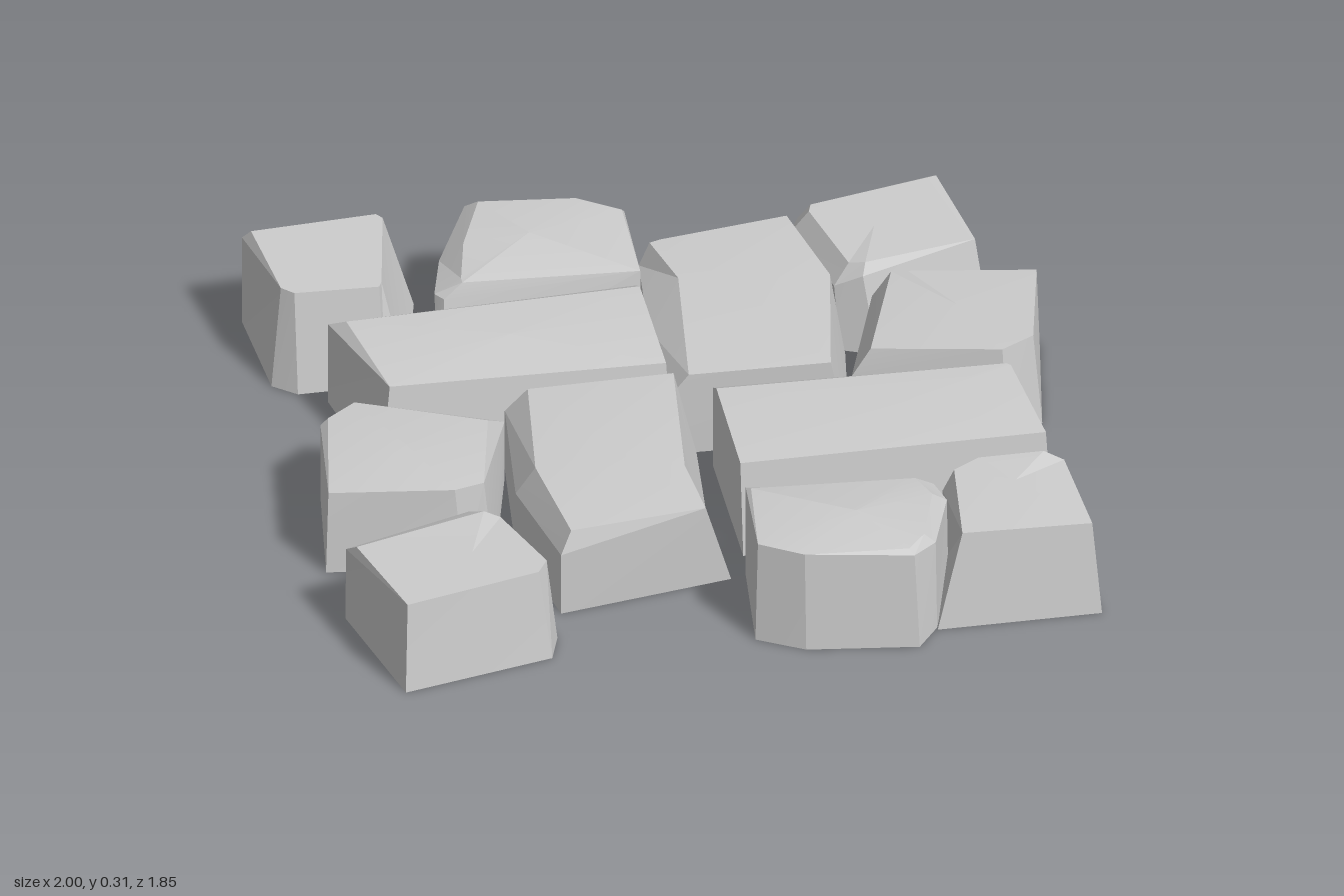
import * as THREE from 'three';
import { toCreasedNormals } from 'three/addons/utils/BufferGeometryUtils.js';

const material = new THREE.MeshStandardMaterial({ color: 0xcccccc, side: THREE.DoubleSide });

// A stone hollow underneath. Each corner row runs clockwise from above:
// foot x, z, shoulder x, z, y, and optionally a bevelled rim x, z, y.
function stone(name, corners, crownY) {
  const pos = [];
  const rings = corners.map(([bx, bz, sx, sz, sy, cx, cz, cy]) => {
    const shoulder = new THREE.Vector3(sx, sy, sz);
    const rim = cx === undefined ? shoulder : new THREE.Vector3(cx, cy, cz);
    return [new THREE.Vector3(bx, 0, bz), shoulder, rim];
  });
  const crown = new THREE.Vector3();
  rings.forEach((r) => crown.addScaledVector(r[2], 1 / rings.length));
  if (crownY) crown.y = crownY;
  const tri = (a, b, c) => {
    if (!a.equals(b) && !b.equals(c) && !c.equals(a)) [a, b, c].forEach((v) => pos.push(v.x, v.y, v.z));
  };
  rings.forEach((a, i) => {
    const b = rings[(i + 1) % rings.length];
    for (let k = 0; k < 2; k++) {
      tri(a[k], a[k + 1], b[k]);
      tri(b[k], a[k + 1], b[k + 1]);
    }
    tri(a[2], crown, b[2]);
  });
  const geometry = new THREE.BufferGeometry();
  geometry.setAttribute('position', new THREE.Float32BufferAttribute(pos, 3));
  const mesh = new THREE.Mesh(toCreasedNormals(geometry, 0.2), material);
  mesh.name = name;
  return mesh;
}

export function createModel() {
  const group = new THREE.Group();
  group.name = 'cobblestonePatch';
  group.add(
    // back row
    stone('backRightCornerStone', [
      [-1, -0.89, -1, -0.89, 0.26, -0.98, -0.87, 0.29],
      [-0.55, -0.89, -0.63, -0.9, 0.27, -0.65, -0.89, 0.29],
      [-0.63, -0.56, -0.69, -0.59, 0.28],
      [-0.69, -0.53, -0.7, -0.57, 0.28],
      [-0.92, -0.53, -0.92, -0.58, 0.28],
      [-0.98, -0.58, -0.95, -0.61, 0.28],
    ]),
    stone('backMiddleStone', [
      [-0.55, -0.54, -0.55, -0.6, 0.22, -0.48, -0.6, 0.26],
      [-0.51, -0.75, -0.51, -0.75, 0.22, -0.45, -0.73, 0.28],
      [-0.41, -0.93, -0.41, -0.93, 0.26, -0.38, -0.9, 0.29],
      [-0.11, -0.89, -0.12, -0.89, 0.27, -0.13, -0.87, 0.29],
      [0, -0.83, -0.01, -0.83, 0.26, -0.02, -0.81, 0.28],
      [-0.02, -0.53, -0.02, -0.55, 0.26],
      [-0.54, -0.53, -0.53, -0.57, 0.22, -0.48, -0.58, 0.26],
    ], 0.3),
    stone('backLeftCornerStone', [
      [0.41, -0.77, 0.41, -0.77, 0.18, 0.46, -0.76, 0.25],
      [0.44, -0.81, 0.44, -0.81, 0.2, 0.47, -0.79, 0.25],
      [0.82, -0.89, 0.81, -0.88, 0.24, 0.81, -0.85, 0.26],
      [0.89, -0.52, 0.86, -0.57, 0.24],
      [0.58, -0.44, 0.55, -0.48, 0.22, 0.56, -0.5, 0.25],
      [0.49, -0.48, 0.48, -0.51, 0.18, 0.52, -0.52, 0.24],
    ]),
    // interlocking centre pair
    stone('centreBackStone', [
      [0, -0.68, 0, -0.68, 0.19, 0.03, -0.69, 0.25],
      [0.03, -0.7, 0.03, -0.7, 0.23, 0.06, -0.7, 0.25],
      [0.42, -0.75, 0.4, -0.75, 0.25],
      [0.5, -0.46, 0.46, -0.46, 0.25],
      [0.44, -0.07, 0.39, -0.07, 0.24],
      [-0.02, -0.08, -0.02, -0.08, 0.19, 0.02, -0.08, 0.24],
      [-0.03, -0.38, -0.03, -0.38, 0.19, 0.07, -0.5, 0.26],
    ], 0.26),
    stone('centreFrontStone', [
      [-0.46, -0.09, -0.46, -0.09, 0.18, -0.4, -0.09, 0.24],
      [0.04, -0.08, -0.02, -0.08, 0.25],
      [0.01, 0.24, -0.07, 0.35, 0.25],
      [0.02, 0.52, -0.05, 0.54, 0.24],
      [-0.44, 0.6, -0.44, 0.6, 0.18, -0.41, 0.58, 0.24],
      [-0.5, 0.28, -0.5, 0.28, 0.17, -0.45, 0.29, 0.25],
    ], 0.26),
    // long slabs either side of the centre
    stone('longRightSlab', [
      [-0.85, -0.48, -0.85, -0.48, 0.24, -0.81, -0.44, 0.27],
      [-0.04, -0.5, -0.04, -0.5, 0.25, -0.04, -0.45, 0.28],
      [-0.02, -0.09, -0.03, -0.13, 0.25],
      [-0.78, -0.11, -0.75, -0.15, 0.25],
    ], 0.28),
    stone('longLeftSlab', [
      [0.07, -0.01, 0.07, -0.01, 0.24, 0.07, 0.04, 0.27],
      [0.81, 0.03, 0.81, 0.03, 0.25, 0.82, 0.09, 0.29],
      [0.83, 0.07, 0.83, 0.07, 0.25, 0.83, 0.1, 0.29],
      [0.88, 0.42, 0.87, 0.38, 0.26],
      [0.07, 0.42, 0.07, 0.38, 0.26],
    ], 0.28),
    // side stones
    stone('leftSideStone', [
      [0.57, -0.46, 0.57, -0.46, 0.17, 0.62, -0.46, 0.24],
      [0.66, -0.48, 0.66, -0.48, 0.22, 0.66, -0.44, 0.25],
      [1, -0.41, 0.99, -0.4, 0.24],
      [0.94, -0.05, 0.92, -0.07, 0.26],
      [0.84, 0.01, 0.83, -0.02, 0.26],
      [0.45, -0.1, 0.45, -0.1, 0.17, 0.5, -0.1, 0.25],
    ], 0.26),
    stone('rightSideStone', [
      [-0.95, -0.05, -0.95, -0.05, 0.22, -0.93, -0.05, 0.24],
      [-0.87, -0.12, -0.87, -0.12, 0.2, -0.85, -0.11, 0.24],
      [-0.47, -0.04, -0.47, -0.04, 0.18, -0.53, 0.05, 0.25],
      [-0.57, 0.36, -0.59, 0.32, 0.24],
      [-0.65, 0.36, -0.67, 0.34, 0.24],
      [-1, 0.3, -0.99, 0.28, 0.23],
    ], 0.26),
    // front row
    stone('frontRightCornerStone', [
      [-0.99, 0.52, -0.99, 0.53, 0.22, -0.97, 0.57, 0.25],
      [-0.65, 0.43, -0.65, 0.43, 0.23, -0.62, 0.48, 0.26],
      [-0.56, 0.49, -0.58, 0.5, 0.25],
      [-0.47, 0.71, -0.5, 0.72, 0.25],
      [-0.5, 0.8, -0.53, 0.77, 0.25],
      [-0.9, 0.89, -0.89, 0.86, 0.25],
    ]),
    stone('frontMiddleStone', [
      [0.06, 0.51, 0.06, 0.51, 0.27, 0.07, 0.53, 0.28],
      [0.55, 0.52, 0.55, 0.52, 0.23, 0.5, 0.53, 0.26],
      [0.57, 0.62, 0.57, 0.6, 0.23, 0.53, 0.61, 0.26],
      [0.5, 0.84, 0.5, 0.82, 0.25, 0.47, 0.82, 0.28],
      [0.44, 0.92, 0.43, 0.9, 0.27, 0.42, 0.88, 0.28],
      [0.15, 0.88, 0.15, 0.86, 0.28],
      [0.03, 0.81, 0.04, 0.79, 0.28],
    ], 0.305),
    stone('frontLeftCornerStone', [
      [0.57, 0.54, 0.57, 0.54, 0.22, 0.6, 0.54, 0.28],
      [0.66, 0.48, 0.66, 0.48, 0.25, 0.67, 0.51, 0.29],
      [0.85, 0.48, 0.85, 0.48, 0.25, 0.84, 0.51, 0.29],
      [0.9, 0.53, 0.89, 0.53, 0.27],
      [0.93, 0.85, 0.91, 0.82, 0.26],
      [0.5, 0.85, 0.57, 0.82, 0.27],
    ], 0.285),
  );
  return group;
}
